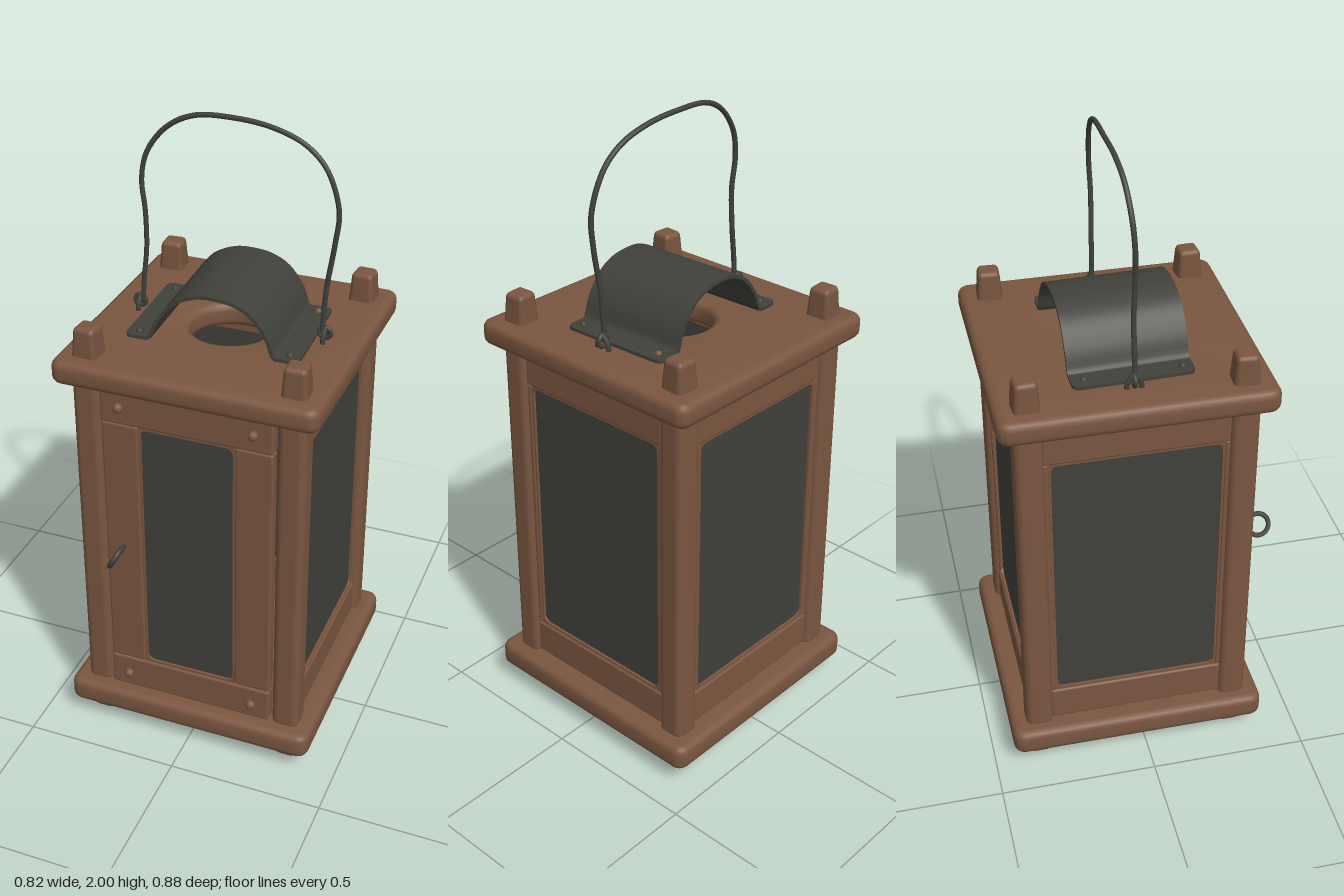
import * as THREE from 'three';
import { toCreasedNormals } from 'three/addons/utils/BufferGeometryUtils.js';
import { RoundedBoxGeometry } from 'three/addons/geometries/RoundedBoxGeometry.js';

const wood = new THREE.MeshStandardMaterial({ color: 0x7a5640 });
wood.name = 'brown wood';
const iron = new THREE.MeshStandardMaterial({ color: 0x40413b });
iron.name = 'dark grey';

const CZ = -0.027; // centre of the lantern body in z

function add(parent, name, geometry, material, x = 0, y = 0, z = 0) {
  const mesh = new THREE.Mesh(geometry, material);
  mesh.name = name;
  mesh.position.set(x, y, z);
  parent.add(mesh);
  return mesh;
}

const block = (w, h, d, r = 0.008) => new RoundedBoxGeometry(w, h, d, 3, r);

// Rounded block that narrows towards its top
function taperedBlock(w, h, narrow, r) {
  const g = block(w, h, w, r), p = g.attributes.position;
  for (let i = 0; i < p.count; i++) {
    const k = 1 - (1 - narrow) * (p.getY(i) / h + 0.5);
    p.setX(i, p.getX(i) * k);
    p.setZ(i, p.getZ(i) * k);
  }
  return g;
}

function roundRect(w, h, r, Type = THREE.Shape) {
  const s = new Type(), a = w / 2, b = h / 2;
  s.moveTo(-a + r, -b);
  s.lineTo(a - r, -b).quadraticCurveTo(a, -b, a, -b + r);
  s.lineTo(a, b - r).quadraticCurveTo(a, b, a - r, b);
  s.lineTo(-a + r, b).quadraticCurveTo(-a, b, -a, b - r);
  s.lineTo(-a, -b + r).quadraticCurveTo(-a, -b, -a + r, -b);
  return s;
}

// Square board with softened edges, lying flat, optionally with a smoke hole
function board(size, thick, holeRadius) {
  const bevel = 0.024;
  const s = roundRect(size - 2 * bevel, size - 2 * bevel, 0.015);
  if (holeRadius) s.holes.push(new THREE.Path().absarc(0, 0, holeRadius + bevel, 0, Math.PI * 2, true));
  const g = new THREE.ExtrudeGeometry(s, {
    depth: thick - 2 * bevel, bevelSize: bevel, bevelThickness: bevel, bevelSegments: 4, curveSegments: 20,
  });
  g.translate(0, 0, bevel - thick / 2).rotateX(-Math.PI / 2);
  return toCreasedNormals(g, 0.7);
}

// Framed pane facing +z: two rails, two stiles, a thin rim and the pane
function panel(name, width, stile) {
  const g = new THREE.Group();
  g.name = name;
  const y0 = 0.265, y1 = 1.155, h = y1 - y0, mid = (y0 + y1) / 2, open = width - 2 * stile;
  for (const y of [0.207, 1.213]) add(g, 'rail', block(width, 0.116, 0.045), wood, 0, y, -0.0225);
  for (const s of [-1, 1]) {
    add(g, 'stile', block(stile, h, 0.04, Math.min(0.008, stile / 3)), wood, s * (width - stile) / 2, mid, -0.0225);
  }
  const rim = roundRect(open, h, 0.001);
  rim.holes.push(roundRect(open - 0.014, h - 0.016, 0.025, THREE.Path));
  add(g, 'rim', new THREE.ExtrudeGeometry(rim, { depth: 0.015, bevelEnabled: false }), wood, 0, mid, -0.021);
  add(g, 'pane', new THREE.BoxGeometry(open, h, 0.015), iron, 0, mid, -0.022);
  return g;
}

function nail(parent, material, x, y, z, radius = 0.014) {
  return add(parent, 'nail', new THREE.SphereGeometry(radius, 12, 8), material, x, y, z);
}

const tube = (points, radius, n) =>
  new THREE.TubeGeometry(new THREE.CatmullRomCurve3(points.map((p) => new THREE.Vector3(...p))), n, radius, 8);

export function createModel() {
  const model = new THREE.Group();
  model.name = 'lantern';

  // Base and roof boards
  add(model, 'baseBoard', board(0.825, 0.085), wood, 0, 0.103, CZ);
  add(model, 'roofBoard', board(0.825, 0.077, 0.125), wood, 0, 1.312, CZ);

  // Corner posts with pegs through the roof and feet below
  for (const sx of [-1, 1]) for (const sz of [-1, 1]) {
    const x = sx * 0.322, z = CZ + sz * 0.32;
    add(model, 'post', block(0.088, 1.16, 0.088, 0.024), wood, x, 0.708, z);
    const peg = add(model, 'peg', taperedBlock(0.082, 0.11, 0.8, 0.016), wood, x, 1.386, z);
    peg.rotation.y = sx * sz * 0.06;
    const foot = add(model, 'foot', taperedBlock(0.08, 0.09, 0.82, 0.018), wood, x, 0.045, z);
    foot.rotation.x = Math.PI;
  }

  // Door in front, fixed panes on the other three sides
  const door = panel('door', 0.543, 0.118);
  door.position.z = 0.342;
  model.add(door);
  for (const x of [-0.21, 0.212]) for (const y of [0.205, 1.215]) nail(door, wood, x, y, 0.006, 0.016);
  const sides = [['leftPanel', 0.352, CZ, 1], ['rightPanel', -0.352, CZ, -1], ['backPanel', 0, CZ - 0.35, 2]];
  for (const [name, x, z, turn] of sides) {
    const side = panel(name, 0.56, 0.016);
    side.position.set(x, 0, z);
    side.rotation.y = turn * Math.PI / 2;
    model.add(side);
  }

  // Door pull: a tilted ring on a pin
  const pull = new THREE.Group();
  pull.name = 'doorPull';
  pull.position.set(-0.212, 0.712, 0);
  pull.rotation.z = -0.5;
  model.add(pull);
  add(pull, 'ring', new THREE.TorusGeometry(0.035, 0.008, 8, 28), iron, 0, 0, 0.4).rotation.y = Math.PI / 2;
  add(pull, 'pin', new THREE.CylinderGeometry(0.007, 0.007, 0.035, 8), iron, 0, 0, 0.35).rotation.x = Math.PI / 2;

  // Arched smoke cover with flat nailed flanges
  const cover = new THREE.Group();
  cover.name = 'smokeCover';
  cover.position.set(-0.002, 1.35, CZ);
  cover.rotation.y = 0.035;
  model.add(cover);
  const t = 0.011, depth = 0.365;
  const spine = new THREE.SplineCurve([
    [-0.21, 0.005], [-0.19, 0.014], [-0.165, 0.07], [-0.115, 0.132], [-0.05, 0.164], [0.01, 0.169],
    [0.07, 0.16], [0.125, 0.13], [0.17, 0.07], [0.19, 0.014], [0.21, 0.005],
  ].map((p) => new THREE.Vector2(...p)));
  const outer = [], inner = [];
  for (let i = 0; i <= 40; i++) {
    const p = spine.getPoint(i / 40), d = spine.getTangent(i / 40);
    const n = new THREE.Vector2(-d.y, d.x).multiplyScalar(t / 2);
    outer.push(p.clone().add(n));
    inner.unshift(p.clone().sub(n));
  }
  const arch = new THREE.ExtrudeGeometry(new THREE.Shape([...inner, ...outer]), { depth, bevelEnabled: false });
  add(cover, 'arch', toCreasedNormals(arch, 0.6), iron, 0, 0, -depth / 2);
  for (const s of [-1, 1]) {
    const flange = new THREE.ExtrudeGeometry(roundRect(0.075, depth, 0.025), { depth: t, bevelEnabled: false });
    flange.rotateX(-Math.PI / 2);
    add(cover, 'flange', flange, iron, s * 0.233, 0, 0);
    for (const z of [-0.145, 0.15]) nail(cover, s > 0 && z < 0 ? wood : iron, s * 0.235, 0.01, z, 0.011);
  }

  // Bent wire carrying handle
  add(model, 'carryingHandle', tube([
    [-0.287, 1.385, -0.024], [-0.283, 1.45, -0.024], [-0.271, 1.56, -0.024], [-0.27, 1.68, -0.02],
    [-0.28, 1.78, -0.023], [-0.262, 1.865, -0.028], [-0.2, 1.945, -0.035], [-0.12, 1.985, -0.043],
    [0, 1.992, -0.047], [0.12, 1.98, -0.043], [0.22, 1.945, -0.036], [0.285, 1.885, -0.03],
    [0.327, 1.77, -0.023], [0.32, 1.67, -0.02], [0.298, 1.52, -0.024], [0.29, 1.385, -0.026],
  ], 0.008, 100), iron);

  // Staples in the roof and the handle's end loops
  for (const s of [-1, 1]) {
    const x = s * 0.298;
    add(model, 'staple', tube([
      [x, 1.335, -0.05], [x, 1.37, -0.047], [x, 1.392, -0.028], [x, 1.37, -0.009], [x, 1.335, -0.006],
    ], 0.008, 20), iron);
    add(model, 'handleLoop', new THREE.TorusGeometry(0.018, 0.007, 8, 18), iron, x, 1.377, -0.028);
  }
  return model;
}
